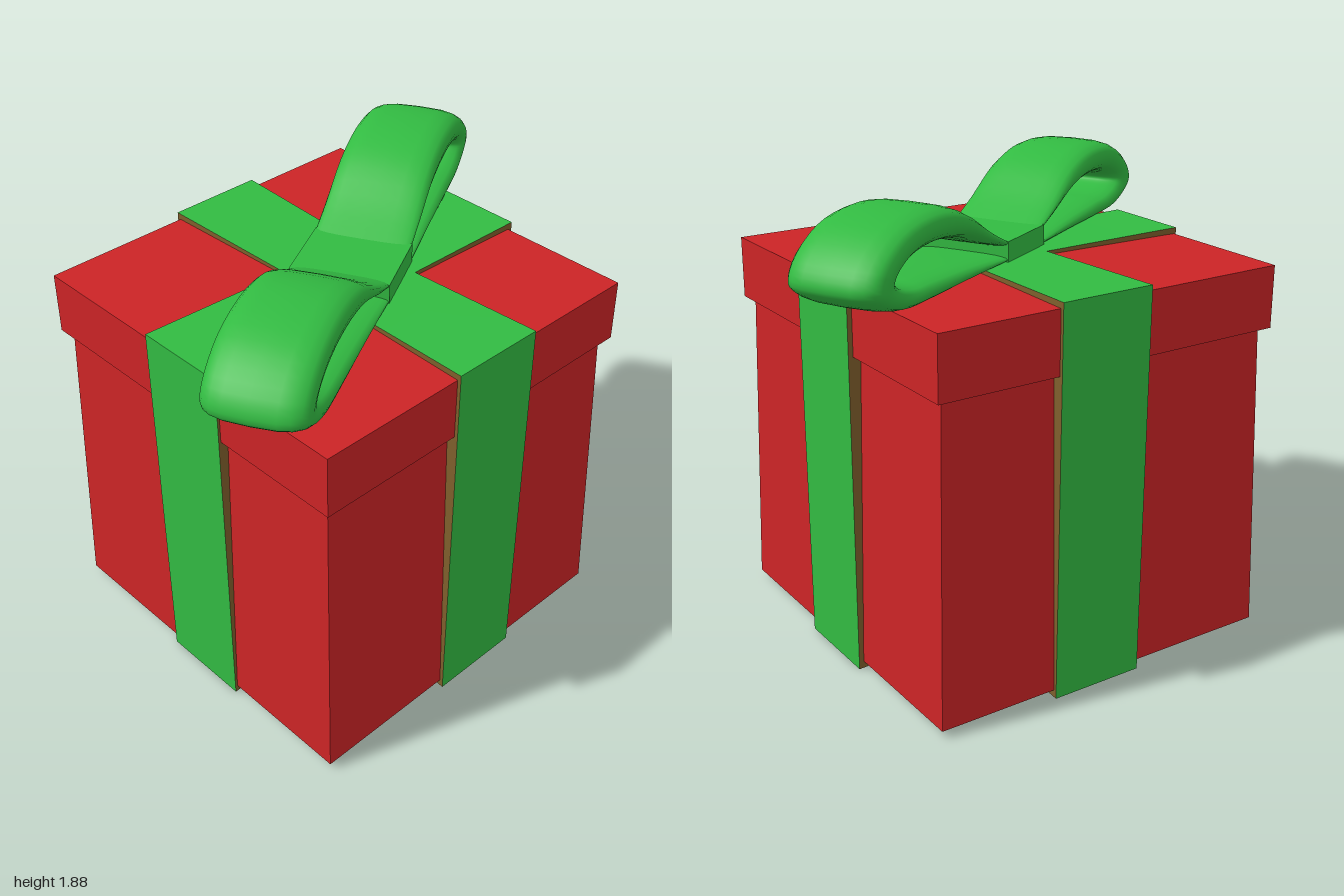
import * as THREE from 'three';

const paint = (name, color) => {
  const m = new THREE.MeshStandardMaterial({ color });
  m.name = name;
  return m;
};

// Strap loop lofted between an outer and an inner outline given as [distance, height]
const OUTER = [[0.08, 1.62], [0.25, 1.71], [0.45, 1.83], [0.65, 1.875], [0.9, 1.845], [1.06, 1.74],
  [1.095, 1.66], [1.04, 1.61], [0.9, 1.56], [0.7, 1.55], [0.4, 1.555], [0.08, 1.56]];
const INNER = [[0.08, 1.6], [0.25, 1.65], [0.45, 1.715], [0.65, 1.74], [0.8, 1.73], [0.89, 1.7],
  [0.905, 1.68], [0.88, 1.66], [0.8, 1.64], [0.7, 1.635], [0.4, 1.615], [0.08, 1.58]];

function loopGeometry() {
  const curve = (pts) => new THREE.CatmullRomCurve3(pts.map(([s, y]) => new THREE.Vector3(0, y, s)));
  const outer = curve(OUTER), inner = curve(INNER);
  const rows = 44, sides = 20, pos = [], index = [];
  const soften = (v, p) => Math.sign(v) * Math.abs(v) ** p;
  for (let i = 0; i <= rows; i++) {
    const o = outer.getPoint(i / rows), n = inner.getPoint(i / rows);
    for (let j = 0; j < sides; j++) {
      const a = (j / sides) * Math.PI * 2;
      const p = n.clone().lerp(o, 0.5 + 0.5 * soften(Math.sin(a), 0.8));
      pos.push(0.193 * soften(Math.cos(a), 0.6), p.y, p.z);
      if (i < rows) {
        const k = (j + 1) % sides, r = i * sides, q = r + sides;
        index.push(r + j, r + k, q + j, r + k, q + k, q + j);
      }
    }
  }
  const g = new THREE.BufferGeometry();
  g.setAttribute('position', new THREE.Float32BufferAttribute(pos, 3));
  g.setIndex(index);
  g.computeVertexNormals();
  return g;
}

// Box whose vertices are moved by a rule
function shapedBox(size, segments, rule) {
  const g = new THREE.BoxGeometry(...size, ...segments);
  const p = g.attributes.position, v = new THREE.Vector3();
  for (let i = 0; i < p.count; i++) {
    rule(v.fromBufferAttribute(p, i));
    p.setXYZ(i, v.x, v.y, v.z);
  }
  g.computeVertexNormals();
  return g;
}

export function createModel() {
  const model = new THREE.Group();
  model.name = 'giftBox';
  const red = paint('wrapping red', 0xcc2426);
  const green = paint('ribbon green', 0x32bb42);
  const edge = paint('ribbon edge brown', 0x7f5f2c);

  const add = (name, geometry, material, x, y, z, parent = model) => {
    const mesh = new THREE.Mesh(geometry, material);
    mesh.name = name;
    mesh.position.set(x, y, z);
    parent.add(mesh);
    return mesh;
  };

  // Body narrows slightly towards the lid
  const body = shapedBox([1.52, 1.28, 1.51], [1, 1, 1], (v) => {
    if (v.y > 0) { v.x *= 0.953; v.z *= 0.957; }
  });
  add('body', body, red, 0, 0.67, 0.055);
  add('lid', new THREE.BoxGeometry(1.52, 0.25, 1.51), red, 0, 1.425, 0.055);

  // Bands wrap the whole box and pinch in towards the middle
  const band = (length, width) => shapedBox([length, 1.575, width], [2, 1, 1], (v) => {
    if (Math.abs(v.x) < 0.01) {
      v.y += v.y > 0 ? -0.013 : 0.025;
      v.z *= 0.88;
    }
  });
  const bandPaint = [green, green, green, green, edge, edge];
  add('sideBand', band(1.55, 0.395), bandPaint, 0, 0.7875, -0.002);
  add('frontBand', band(1.54, 0.385), bandPaint, 0.018, 0.7875, 0.05).rotation.y = Math.PI / 2;

  // Bow lies diagonally across the lid
  const bow = new THREE.Group();
  bow.name = 'bow';
  bow.position.x = 0.033;
  bow.rotation.y = 0.496;
  model.add(bow);
  const loop = loopGeometry();
  add('frontLoop', loop, green, 0, 0, 0, bow);
  add('backLoop', loop, green, 0, 0, 0, bow).rotation.y = Math.PI;
  add('knot', new THREE.BoxGeometry(0.39, 0.095, 0.31), green, 0, 1.598, 0, bow);

  return model;
}
